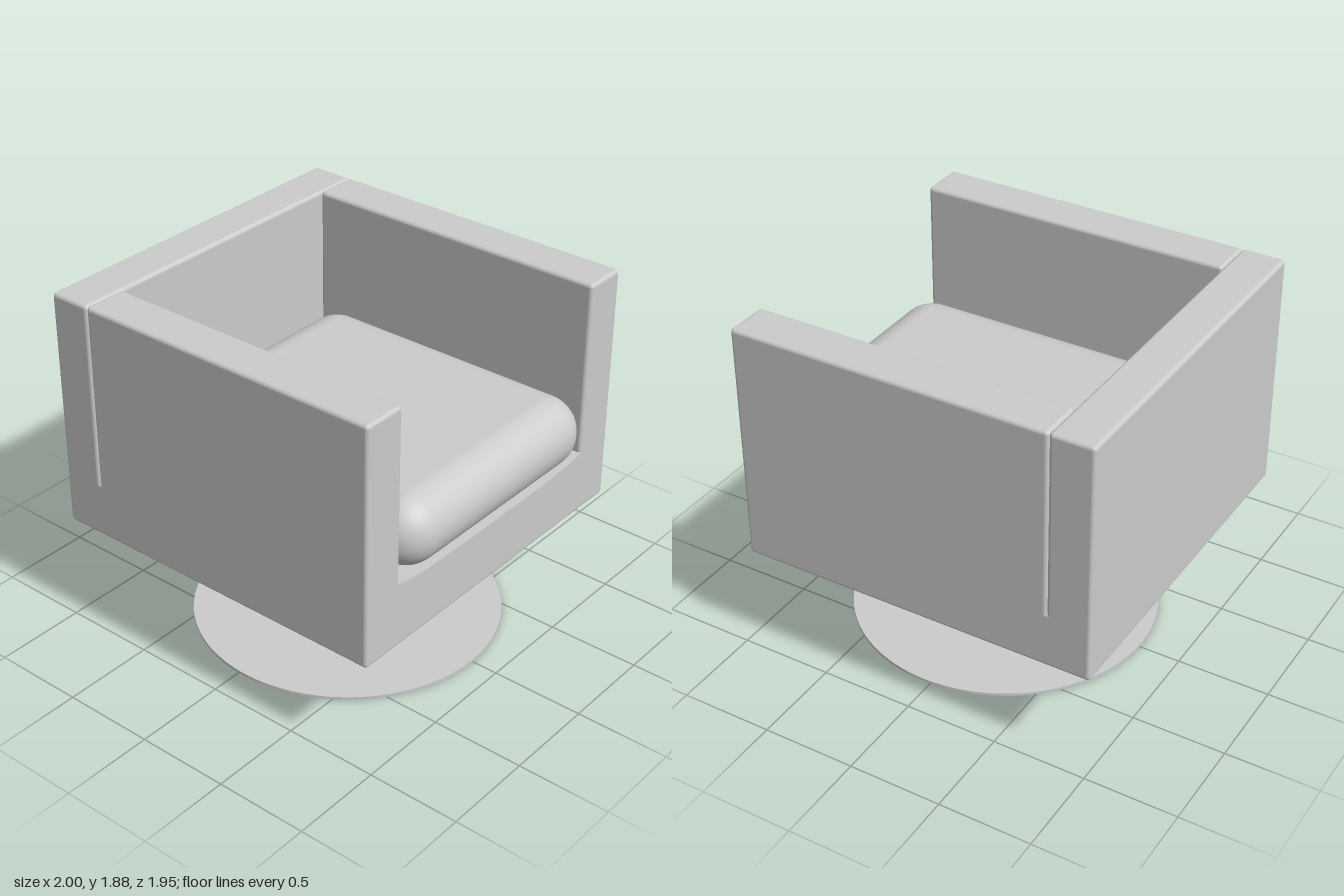
import * as THREE from 'three';
import { RoundedBoxGeometry } from 'three/addons/geometries/RoundedBoxGeometry.js';

export function createModel() {
  const group = new THREE.Group();
  const material = new THREE.MeshStandardMaterial({ color: 0xcccccc });

  const add = (name, geometry, x, y, z) => {
    const mesh = new THREE.Mesh(geometry, material);
    mesh.name = name;
    mesh.position.set(x, y, z);
    group.add(mesh);
    return mesh;
  };

  // Rounded box given by its min and max corners
  const block = (name, [x0, y0, z0], [x1, y1, z1], radius, segments = 4) =>
    add(name, new RoundedBoxGeometry(x1 - x0, y1 - y0, z1 - z0, segments, radius),
      (x0 + x1) / 2, (y0 + y1) / 2, (z0 + z1) / 2);

  const BACK = -1, FRONT = 0.945, SEAM = -0.767, HALF = 0.975, INNER = 0.735;
  const BOTTOM = 0.58, TOP = 1.878;

  // Upholstered shell: one base, with the back and arms rising flush from it
  block('seatBase', [BACK, BOTTOM, -HALF], [FRONT, 0.89, HALF], 0.02);
  block('backrest', [BACK, 0.7, -HALF], [SEAM, TOP, HALF], 0.02);
  block('leftArm', [SEAM, 0.7, -HALF], [FRONT, TOP, -INNER], 0.02);
  block('rightArm', [SEAM, 0.7, INNER], [FRONT, TOP, HALF], 0.02);

  // Slightly dished seat deck between the arms
  const deck = new THREE.Shape();
  deck.moveTo(-0.75, 0.8);
  deck.lineTo(0.75, 0.8);
  deck.lineTo(0.75, 0.935);
  deck.bezierCurveTo(0.6, 0.9, 0.4, 0.9, 0, 0.9);
  deck.bezierCurveTo(-0.4, 0.9, -0.6, 0.9, -0.75, 0.935);
  const deckGeometry = new THREE.ExtrudeGeometry(deck, {
    depth: FRONT - SEAM, bevelEnabled: false, curveSegments: 12,
  });
  deckGeometry.rotateY(Math.PI / 2);
  add('seatDeck', deckGeometry, SEAM, 0, 0);

  // Plump loose cushion, overhanging the front edge
  block('cushion', [-0.69, 0.905, -0.735], [1, 1.29, 0.715], 0.19, 10);

  // Swivel pedestal
  add('post', new THREE.CylinderGeometry(0.062, 0.062, 0.6, 32), 0.04, 0.3, 0.015);
  add('basePlate', new THREE.CylinderGeometry(0.815, 0.815, 0.015, 72), 0.04, 0.0075, 0.015);

  return group;
}
